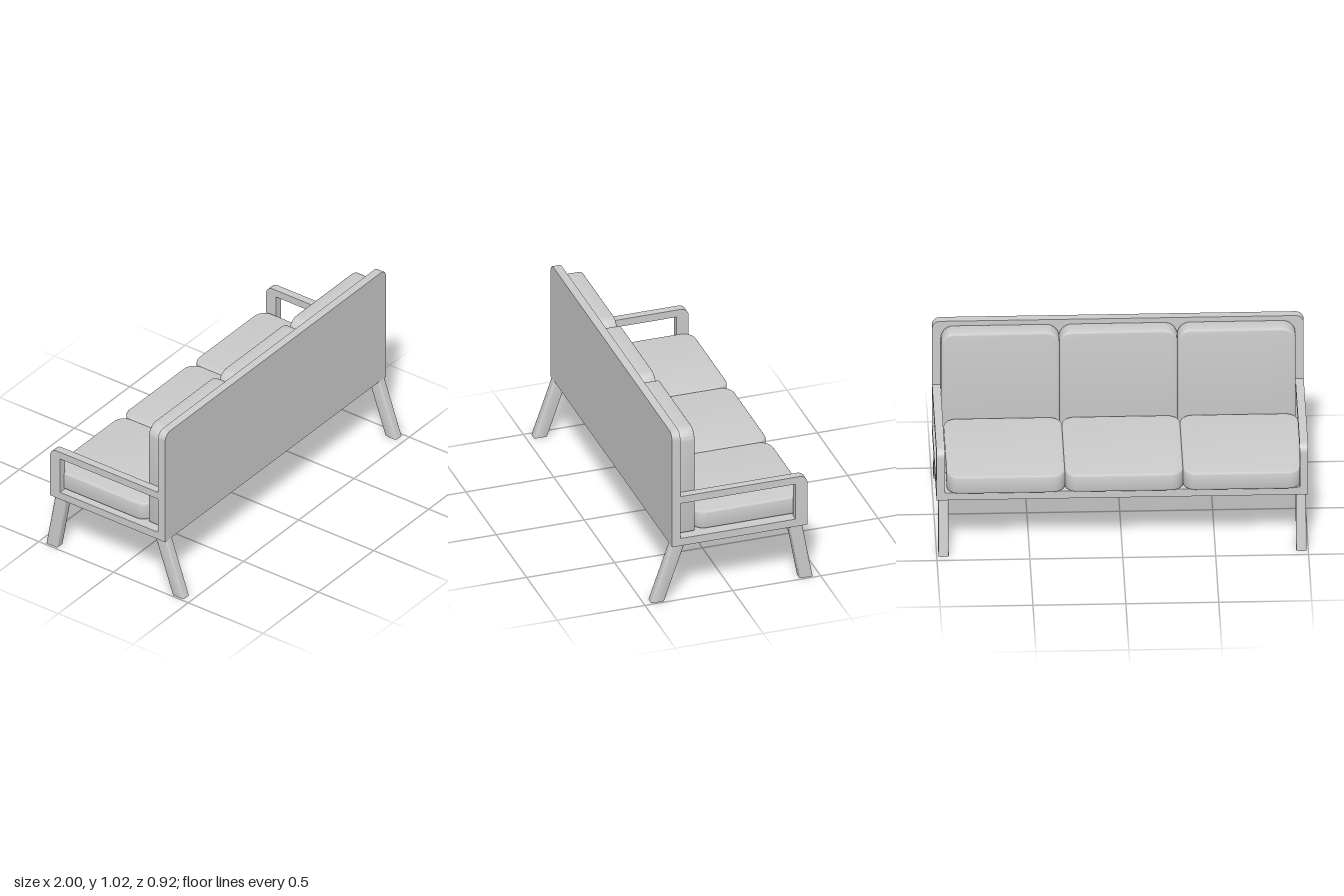
import * as THREE from 'three';
import { toCreasedNormals } from 'three/addons/utils/BufferGeometryUtils.js';

const material = new THREE.MeshStandardMaterial({ color: 0xcccccc });

// Rectangle with its own radius at each corner: [bottom left, bottom right, top right, top left]
function roundedRect(x0, y0, x1, y1, [bl, br, tr, tl]) {
  const s = new THREE.Shape();
  const corner = (cx, cy, r, start) => {
    if (r > 0) s.absarc(cx, cy, r, start, start + Math.PI / 2, false);
    else s.lineTo(cx, cy);
  };
  s.moveTo(x0 + bl, y0);
  corner(x1 - br, y0 + br, br, -Math.PI / 2);
  corner(x1 - tr, y1 - tr, tr, 0);
  corner(x0 + tl, y1 - tl, tl, Math.PI / 2);
  corner(x0 + bl, y0 + bl, bl, Math.PI);
  return s;
}

function extrude(shape, depth, bevel = 0) {
  return new THREE.ExtrudeGeometry(shape, {
    depth: depth - 2 * bevel,
    curveSegments: 8,
    bevelEnabled: bevel > 0,
    bevelSize: bevel,
    bevelThickness: bevel,
    bevelOffset: -bevel,
    bevelSegments: 3,
  }).translate(0, 0, bevel);
}

export function createModel() {
  const group = new THREE.Group();
  const add = (name, geometry, x = 0, y = 0, z = 0) => {
    const mesh = new THREE.Mesh(toCreasedNormals(geometry, 0.6), material);
    mesh.name = name;
    mesh.position.set(x, y, z);
    group.add(mesh);
  };

  // Seat platform and tall back board
  add('seatBase', new THREE.BoxGeometry(1.91, 0.045, 0.725), 0, 0.3525, -0.0625);
  add('backBoard', extrude(roundedRect(-1, 0.33, 1, 1.025, [0, 0, 0.045, 0.045]), 0.047), 0, 0, 0.298);

  // Arm frames: profile drawn in z-y, with a rectangular opening
  const frame = roundedRect(-0.425, 0.33, 0.3, 0.633, [0, 0, 0, 0.045]);
  frame.holes.push(new THREE.Path([
    new THREE.Vector2(-0.357, 0.375),
    new THREE.Vector2(-0.357, 0.59),
    new THREE.Vector2(0.299, 0.59),
    new THREE.Vector2(0.299, 0.375),
  ]));
  const armGeometry = extrude(frame, 0.045).rotateY(-Math.PI / 2);
  add('leftArm', armGeometry, 1);
  add('rightArm', armGeometry, -0.955);

  // Three seat cushions and three back cushions
  const w = 0.318;
  const seat = extrude(roundedRect(-w, -0.32, w, 0.32, [0.07, 0.07, 0.07, 0.07]), 0.104, 0.01)
    .rotateX(-Math.PI / 2);
  const back = extrude(roundedRect(-w, 0, w, 0.623, [0.015, 0.015, 0.07, 0.07]), 0.1, 0.01);
  for (const i of [-1, 0, 1]) {
    add('seatCushion', seat, i * 0.636 - 0.01, 0.377, -0.125);
    add('backCushion', back, i * 0.636, 0.377, 0.198);
  }

  // Splayed legs: upright prisms sheared along z towards the floor
  const leg = (splay) => {
    const g = extrude(roundedRect(-0.0275, -0.0375, 0.0275, 0.0375, [0.01, 0.01, 0.01, 0.01]), 0.331)
      .rotateX(-Math.PI / 2);
    const p = g.attributes.position;
    for (let i = 0; i < p.count; i++) p.setZ(i, p.getZ(i) + splay * (1 - p.getY(i) / 0.331));
    g.computeVertexNormals();
    return g;
  };
  for (const side of [-1, 1]) {
    add('rearLeg', leg(0.115), side * 0.9625, 0, 0.3075);
    add('frontLeg', leg(-0.06), side * 0.9625, 0, -0.3625);
  }
  return group;
}
